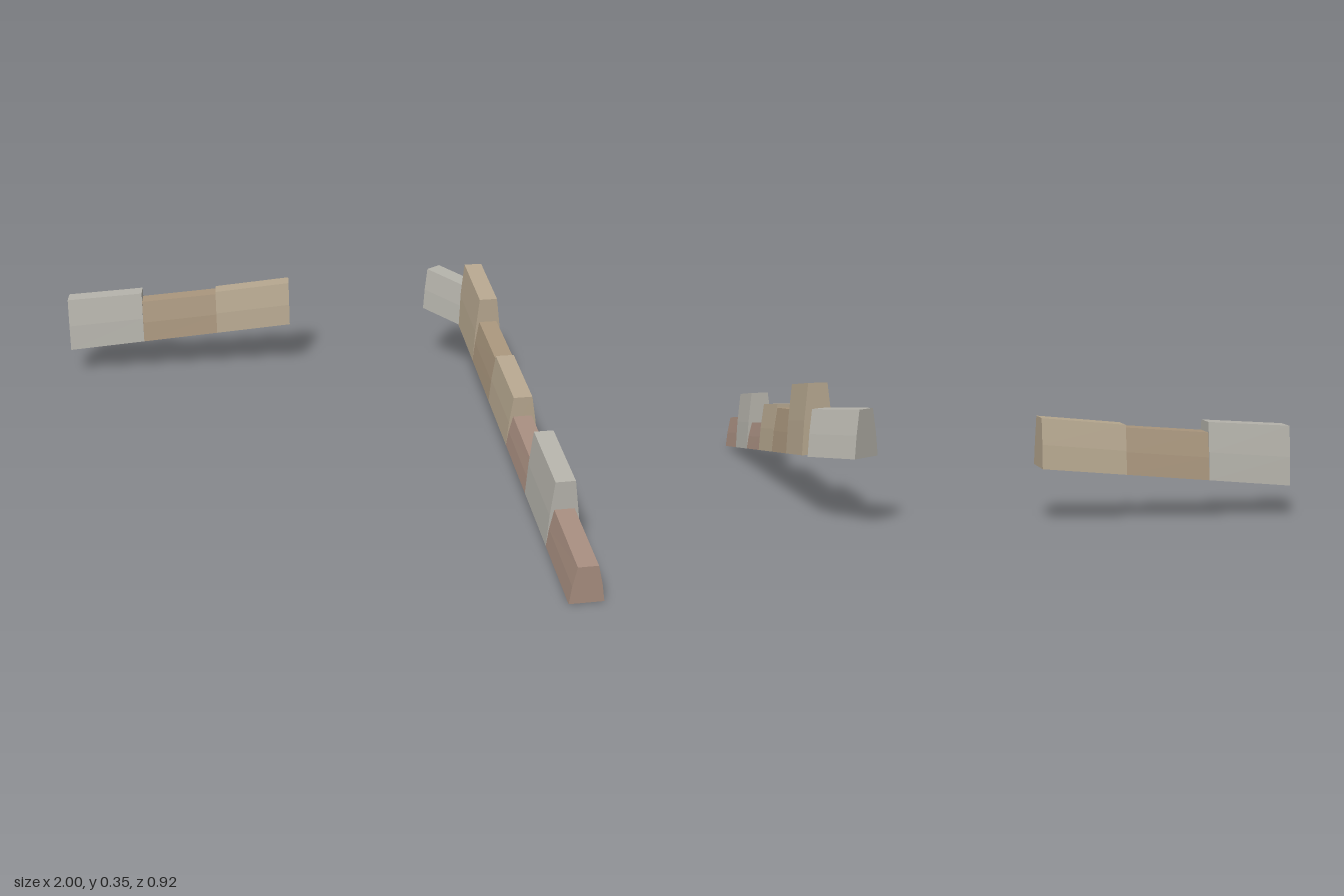
import * as THREE from 'three';

const GREY = 0xb4b2aa, TAN = 0xb5a68e, BROWN = 0xa8957c, RED = 0xa58c7e;

// Battered wall block between two plan points; each end is {x, z, base, top}.
function blockGeometry(a, b) {
  const len = Math.hypot(b.x - a.x, b.z - a.z);
  const px = -(b.z - a.z) / len, pz = (b.x - a.x) / len;
  // cross-section: [offset across the wall, height fraction]
  const section = [[0.0425, 0], [0.036, 0.48], [0.025, 1], [-0.025, 1], [-0.036, 0.48], [-0.0425, 0]];
  const n = section.length;
  const positions = [];
  for (const end of [a, b]) {
    for (const [off, t] of section) {
      positions.push(end.x + px * off, end.base + (end.top - end.base) * t, end.z + pz * off);
    }
  }
  const index = [];
  for (let i = 0; i < n; i++) {
    const j = (i + 1) % n;
    index.push(i, n + i, n + j, i, n + j, j);
  }
  for (let i = 1; i < n - 1; i++) {
    index.push(0, i, i + 1, n, n + i + 1, n + i);
  }
  const g = new THREE.BufferGeometry();
  g.setAttribute('position', new THREE.Float32BufferAttribute(positions, 3));
  g.setIndex(index);
  const flat = g.toNonIndexed();
  flat.computeVertexNormals();
  return flat;
}

// Straight run of equal-length blocks; blocks list [topAtStart, topAtEnd, color].
function wallRun(name, start, end, blocks) {
  const run = new THREE.Group();
  run.name = name;
  const at = (t, top) => ({
    x: THREE.MathUtils.lerp(start[0], end[0], t),
    base: THREE.MathUtils.lerp(start[1], end[1], t),
    z: THREE.MathUtils.lerp(start[2], end[2], t),
    top,
  });
  blocks.forEach(([top0, top1, color], i) => {
    const geometry = blockGeometry(at(i / blocks.length, top0), at((i + 1) / blocks.length, top1));
    const mesh = new THREE.Mesh(geometry, new THREE.MeshStandardMaterial({ color, flatShading: true }));
    mesh.name = `${name}Block${i + 1}`;
    run.add(mesh);
  });
  return run;
}

export function createModel() {
  const model = new THREE.Group();
  model.name = 'ruinedWall';

  // Long run descending towards the front, with alternating tall blocks
  model.add(wallRun('longWall', [-0.105, 0.17, -0.42], [0.975, 0.002, 0.322], [
    [0.355, 0.328, TAN],
    [0.26, 0.238, BROWN],
    [0.248, 0.222, TAN],
    [0.168, 0.138, RED],
    [0.23, 0.202, GREY],
    [0.128, 0.098, RED],
  ]));

  // Short return at the upper end
  model.add(wallRun('cornerWall', [-0.27, 0.18, -0.42], [-0.108, 0.17, -0.42], [
    [0.302, 0.29, GREY],
  ]));

  // Separate run on the other side of the gap
  model.add(wallRun('shortWall', [-0.967, 0.083, 0.433], [-0.55, 0.145, -0.08], [
    [0.237, 0.252, GREY],
    [0.225, 0.243, BROWN],
    [0.25, 0.272, TAN],
  ]));

  return model;
}
